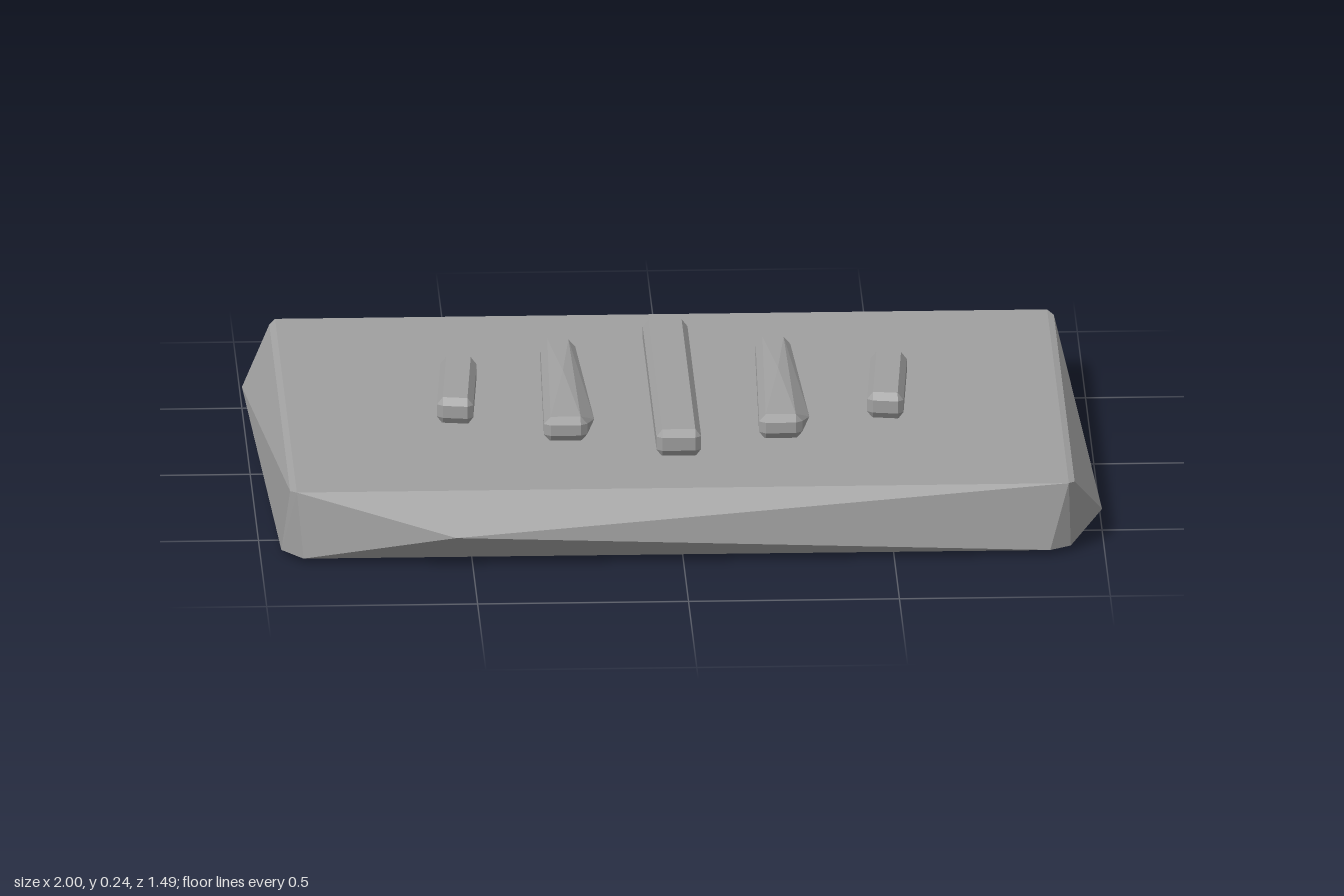
import * as THREE from 'three';
import { ConvexGeometry } from 'three/addons/geometries/ConvexGeometry.js';

// Faceted stone hull around a handful of points
function stone(name, points, material) {
  const geometry = new ConvexGeometry(points.map((p) => new THREE.Vector3(...p)));
  const mesh = new THREE.Mesh(geometry, material);
  mesh.name = name;
  return mesh;
}

// Chamfered bar: outline corners seen from above, with a narrower top and base
function barPoints(outline, bottom, top, inset) {
  const points = [];
  for (const [x, z] of outline) {
    const ix = x - Math.sign(x) * inset, iz = z - Math.sign(z) * 0.012;
    points.push([x, bottom + 0.018, iz], [x, top - 0.018, iz]);
    points.push([ix, bottom + 0.018, z], [ix, top - 0.018, z]);
    points.push([ix, bottom, iz], [ix, top, iz]);
  }
  return points;
}

export function createModel() {
  const group = new THREE.Group();
  group.name = 'carvedSlab';
  const grey = new THREE.MeshStandardMaterial({ color: 0xa0a0a0, flatShading: true });
  grey.name = 'stoneGrey';

  // Slab: half of its corners, repeated by a half turn about y
  const half = [
    [0.915, 0.17, 0.657], [0.93, 0.165, 0.63], [-0.915, 0.17, 0.657], [-0.93, 0.165, 0.63],
    [-0.54, 0.08, 0.743], [1.0, 0.053, 0.5],
    [0.87, 0.012, 0.682], [0.92, 0.012, 0.65], [0.955, 0.012, 0.35],
    [-0.9, 0.012, 0.678], [-0.95, 0.012, 0.61],
  ];
  const slab = half.flatMap(([x, y, z]) => [[x, y, z], [-x, y, -z]]);
  slab.push([0, 0, 0], [0, 0.172, 0]);
  group.add(stone('slab', slab, grey));

  // Long straight bar in the middle
  const long = [[-0.053, -0.43], [0.053, -0.43], [0.053, 0.425], [-0.053, 0.425]];
  group.add(stone('middleBar', barPoints(long, 0.168, 0.236, 0.014), grey));

  for (const side of [-1, 1]) {
    const prefix = side > 0 ? 'left' : 'right';

    // Medium bars: slanted, pinched to a point along the top
    const medium = [[-0.045, -0.312], [0.037, -0.305], [0.043, 0.302], [-0.06, 0.302]];
    const points = barPoints(medium, 0.168, 0.23, 0.016);
    points.push([0.062, 0.2, 0.22], [-0.048, 0.2, -0.25], [-0.002, 0.237, -0.04]);
    const mediumBar = stone(prefix + 'MediumBar', points, grey);
    mediumBar.position.x = side * 0.255;
    group.add(mediumBar);

    // Short outer bars
    const short = [[-0.033, -0.175], [0.053, -0.168], [0.033, 0.165], [-0.053, 0.155]];
    const shortBar = stone(prefix + 'ShortBar', barPoints(short, 0.168, 0.234, 0.014), grey);
    shortBar.position.x = side * 0.51;
    group.add(shortBar);
  }
  return group;
}
